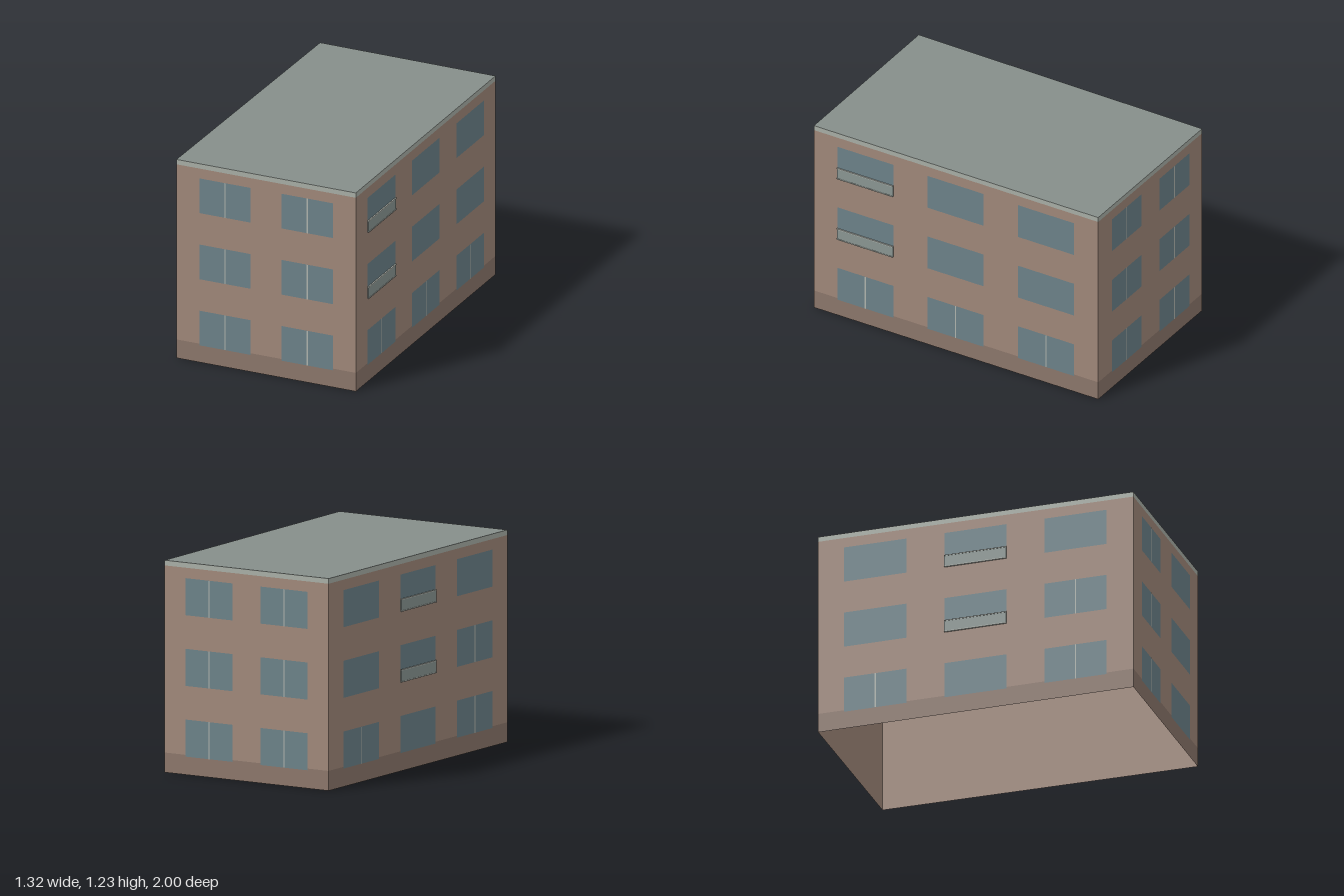
import * as THREE from 'three';

const mat = (color, side = THREE.FrontSide) =>
  new THREE.MeshStandardMaterial({ color, side, flatShading: true });

const WALL_TOP = 1.2, ROOF = 1.23, PLINTH = 0.115;
const FLOORS = [0.105, 0.515, 0.925], WINDOW_H = 0.215;

// Footprint corners as [x, z]: front left, front right, back right, back left
const CORNERS = [[-0.47, 0.997], [0.661, 0.885], [0.449, -0.998], [-0.661, -0.895]];

// Window columns as [start, end] fractions of the wall length
const SHORT = [[0.128, 0.415], [0.587, 0.874]];
const LONG = [[0.083, 0.28], [0.401, 0.598], [0.718, 0.915]];

// Per facade: columns with a mullion on each floor, and balconies as [floor, column]
const FACADES = [
  { name: 'frontFacade', cols: SHORT, mullions: [[0, 1], [0, 1], [0, 1]], balconies: [] },
  { name: 'rightFacade', cols: LONG, mullions: [[0, 1, 2], [], []], balconies: [[1, 0], [2, 0]] },
  { name: 'backFacade', cols: SHORT, mullions: [[0, 1], [0, 1], [0, 1]], balconies: [] },
  { name: 'leftFacade', cols: LONG, mullions: [[0, 2], [2], []], balconies: [[1, 1], [2, 1]] },
];

export function createModel() {
  const building = new THREE.Group();
  building.name = 'building';

  const wallMat = mat(0xa0887a, THREE.DoubleSide);
  const corniceMat = mat(0xa8aea6, THREE.DoubleSide);
  const roofMat = mat(0x868e8a, THREE.DoubleSide);
  const plinthMat = mat(0x8c776b);
  const glassMat = mat(0x6c8289);
  const trimMat = mat(0xb0b5ae);
  const panelMat = mat(0x8a9693);

  const add = (parent, name, geometry, material, x, y, z) => {
    const mesh = new THREE.Mesh(geometry, material);
    mesh.name = name;
    mesh.position.set(x, y, z);
    parent.add(mesh);
  };
  // Flat panel spanning x0..x1 and y0..y1, lifted z from the wall
  const panel = (parent, name, material, x0, x1, y0, y1, z) =>
    add(parent, name, new THREE.PlaneGeometry(x1 - x0, y1 - y0), material, (x0 + x1) / 2, (y0 + y1) / 2, z);

  FACADES.forEach(({ name, cols, mullions, balconies }, i) => {
    const [ax, az] = CORNERS[i], [bx, bz] = CORNERS[(i + 1) % 4];
    const length = Math.hypot(bx - ax, bz - az);

    // Local frame: x runs along the wall, z points outward
    const facade = new THREE.Group();
    facade.name = name;
    facade.position.set(ax, 0, az);
    facade.rotation.y = Math.atan2(az - bz, bx - ax);
    building.add(facade);

    panel(facade, 'wall', wallMat, 0, length, 0, WALL_TOP, 0);
    panel(facade, 'cornice', corniceMat, 0, length, WALL_TOP, ROOF, 0);
    panel(facade, 'plinth', plinthMat, 0, length, 0, PLINTH, 0.001);

    FLOORS.forEach((y, floor) => cols.forEach(([s, e], col) => {
      const x0 = s * length, x1 = e * length, mid = (x0 + x1) / 2;
      panel(facade, 'window', glassMat, x0, x1, y, y + WINDOW_H, 0.002);
      if (mullions[floor].includes(col))
        panel(facade, 'mullion', trimMat, mid - 0.0035, mid + 0.0035, y, y + WINDOW_H, 0.003);
    }));

    // Shallow balconies: panel between a top and a bottom rail
    for (const [floor, col] of balconies) {
      const [s, e] = cols[col], w = (e - s) * length, mid = (s + e) / 2 * length;
      const y = FLOORS[floor];
      const balcony = new THREE.Group();
      balcony.name = 'balcony';
      balcony.position.set(mid, y, 0);
      facade.add(balcony);
      add(balcony, 'balconyPanel', new THREE.BoxGeometry(w, 0.067, 0.006), panelMat, 0, 0.036, 0.005);
      for (const ry of [0.003, 0.071])
        add(balcony, 'balconyRail', new THREE.BoxGeometry(w, 0.006, 0.009), trimMat, 0, ry, 0.0055);
    }
  });

  // Flat roof over the footprint
  const outline = new THREE.Shape(CORNERS.map(([x, z]) => new THREE.Vector2(x, -z)));
  add(building, 'roof', new THREE.ShapeGeometry(outline).rotateX(-Math.PI / 2), roofMat, 0, ROOF, 0);

  return building;
}
